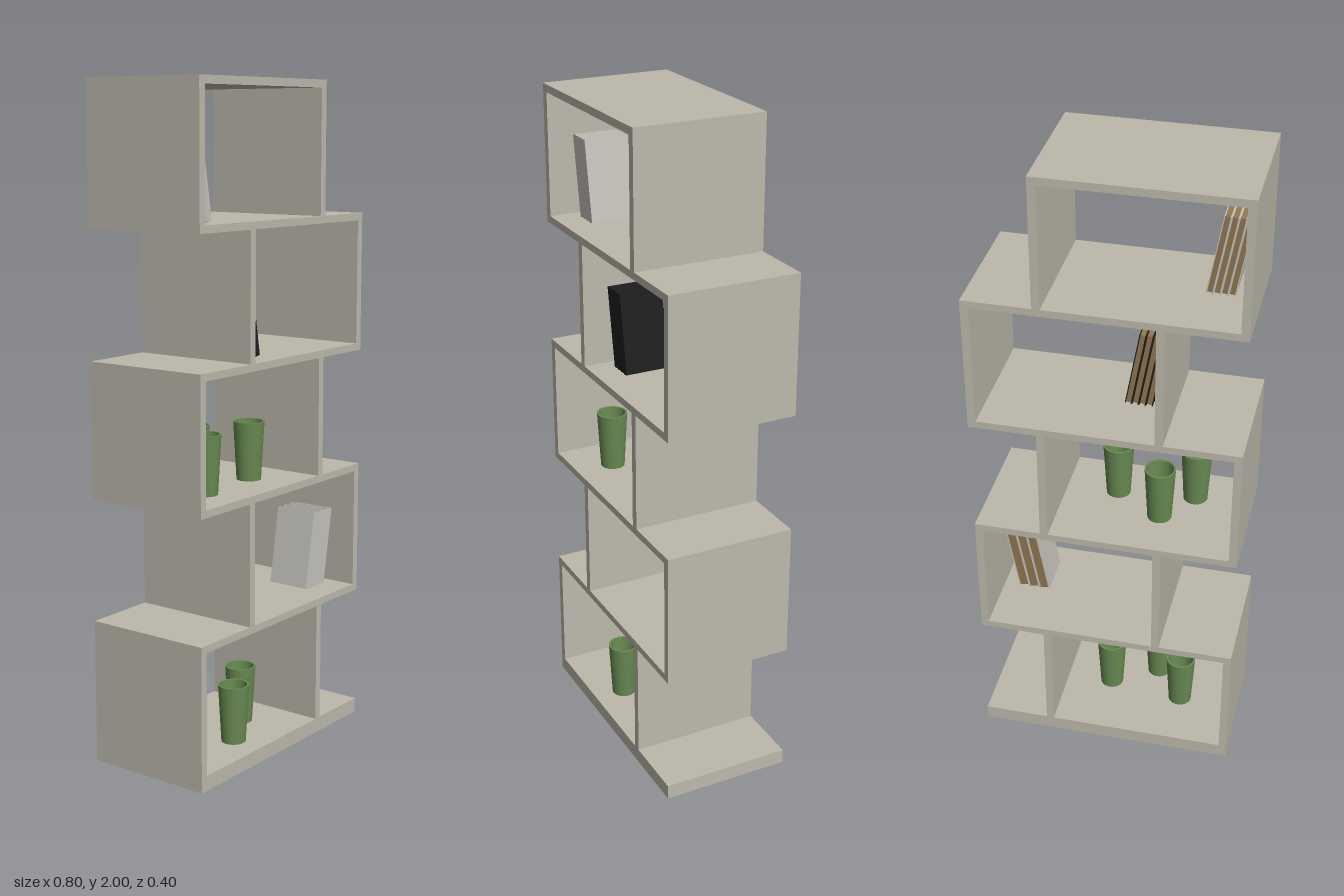
import * as THREE from 'three';

const material = (name, color, side = THREE.FrontSide) => {
  const m = new THREE.MeshStandardMaterial({ color, side });
  m.name = name;
  return m;
};

export function createModel() {
  const model = new THREE.Group();
  model.name = 'bookcase';

  const panelMat = material('warm grey panel', 0xbcb8ab);
  const lightCover = material('light grey cover', 0xc4c1ba);
  const blackCover = material('black cover', 0x1e1e20);
  const pageMat = material('tan pages', 0x8f7650);
  const potMat = material('green pot', 0x688a52);

  // Box given by its x, y and z limits
  const box = (parent, name, mat, [x0, x1], [y0, y1], [z0, z1]) => {
    const mesh = new THREE.Mesh(new THREE.BoxGeometry(x1 - x0, y1 - y0, z1 - z0), mat);
    mesh.position.set((x0 + x1) / 2, (y0 + y1) / 2, (z0 + z1) / 2);
    mesh.name = name;
    parent.add(mesh);
  };

  // Horizontal boards, bottom to top
  const depth = [-0.2, 0.2];
  const T = 0.024;
  const boards = [[0, 0.045], [0.412, 0.434], [0.802, 0.824], [1.185, 1.207], [1.585, 1.607], [1.977, 2]];
  boards.forEach((y, i) => {
    const name = i === 0 ? 'base' : i === 5 ? 'topBoard' : 'shelf';
    box(model, name, panelMat, [-0.4, i === 5 ? 0.197 : 0.4], y, depth);
  });

  // Uprights, shifted left and right on alternate levels
  for (let i = 0; i < 5; i++) {
    const y = [boards[i][1], boards[i + 1][0]];
    const starts = i % 2 === 0 ? [-0.4, 0.197 - T] : [-0.172, 0.4 - T];
    starts.forEach((x) => box(model, 'upright', panelMat, [x, x + T], y, depth));
  }

  // A row of leaning books; dir = 1 leans left, -1 leans right
  const LEAN = THREE.MathUtils.degToRad(10);
  const addBooks = (x, y, count, w, dir, coverMat) => {
    const row = new THREE.Group();
    row.name = 'bookRow';
    const h = 0.243, c = 0.003, z0 = -0.015, z1 = 0.122;
    for (let i = 0; i < count; i++) {
      const book = new THREE.Group();
      book.name = 'book';
      const left = dir > 0 ? 0 : -w;
      const right = left + w;
      box(book, 'cover', coverMat, [left, left + c], [0, h], [z0, z1]);
      box(book, 'cover', coverMat, [right - c, right], [0, h], [z0, z1]);
      box(book, 'spine', coverMat, [left + c, right - c], [0, h], [z1 - c, z1]);
      box(book, 'pages', pageMat, [left + c, right - c], [c, h - c], [z0 + c, z1 - c]);
      book.rotation.z = dir * LEAN;
      book.position.set(x + dir * i * w / Math.cos(LEAN), y, 0);
      row.add(book);
    }
    model.add(row);
  };
  addBooks(-0.33, 1.607, 4, 0.0205, 1, lightCover);
  addBooks(-0.104, 1.207, 4, 0.0205, 1, blackCover);
  addBooks(0.326, 0.434, 3, 0.033, -1, lightCover);

  // Open tapered pots: floor, outer wall, rim, inner wall, inner floor
  const profile = [
    [0, 0], [0.037, 0], [0.037, 0], [0.047, 0.178], [0.047, 0.178],
    [0.041, 0.178], [0.041, 0.178], [0.032, 0.008], [0.032, 0.008], [0, 0.008],
  ].map(([r, y]) => new THREE.Vector2(r, y));
  // Each profile segment is its own lathe so that edges stay sharp
  const walls = [];
  for (let i = 0; i < profile.length; i += 2) {
    walls.push(new THREE.LatheGeometry([profile[i], profile[i + 1]], 32));
  }
  const addPot = (x, y, z) => {
    const pot = new THREE.Group();
    pot.name = 'pot';
    walls.forEach((g, i) => {
      const mesh = new THREE.Mesh(g, potMat);
      mesh.name = ['potBottom', 'potOuterWall', 'potRim', 'potInnerWall', 'potFloor'][i];
      pot.add(mesh);
    });
    pot.position.set(x, y, z);
    model.add(pot);
  };
  [[-0.212, -0.014], [-0.119, 0.1], [0.026, 0.016]].forEach(([x, z]) => addPot(x, 0.045, z));
  [[-0.225, 0.078], [-0.135, -0.036], [0.013, 0.057]].forEach(([x, z]) => addPot(x, 0.824, z));

  return model;
}
